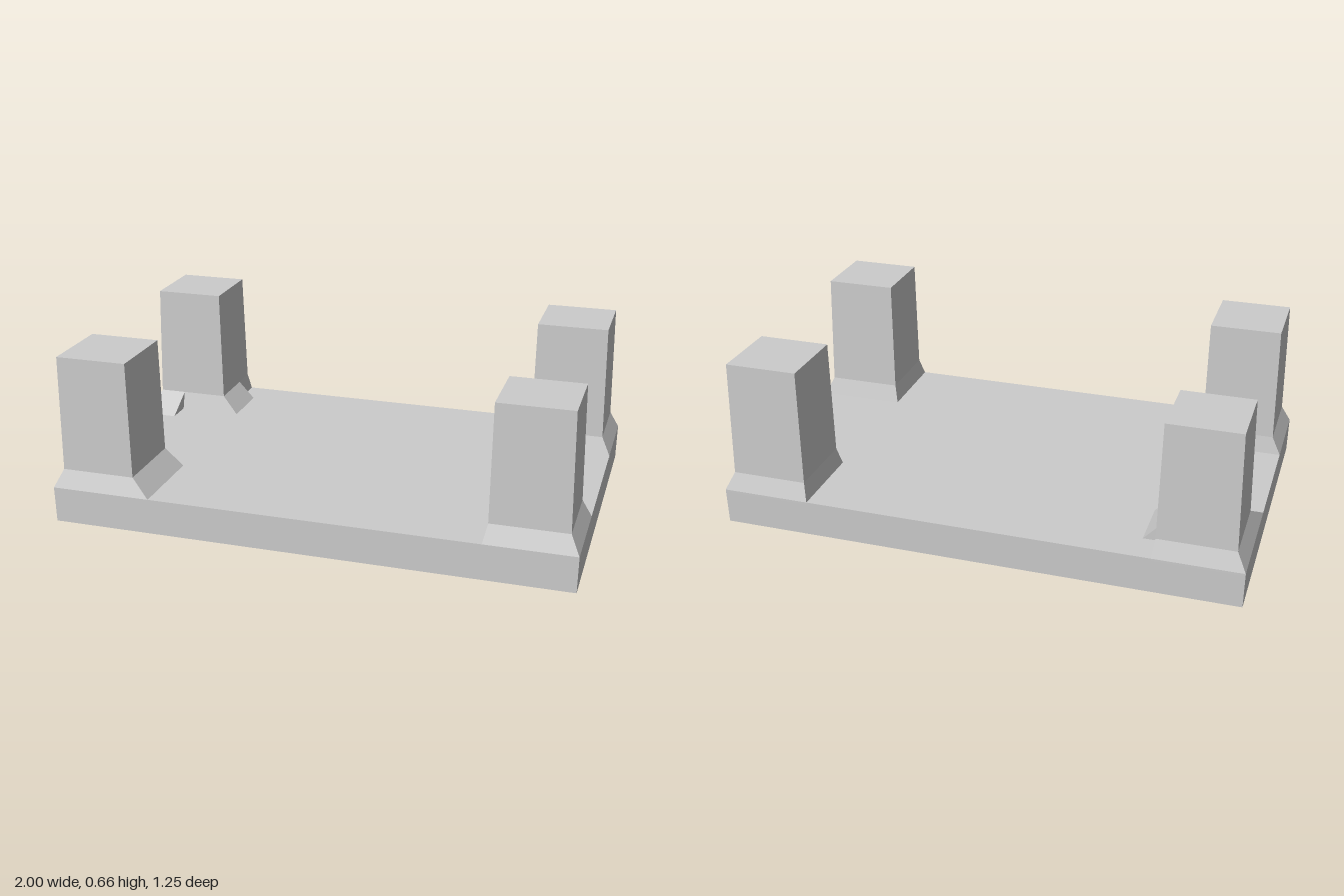
import * as THREE from 'three';

const material = new THREE.MeshStandardMaterial({ color: 0xcccccc, flatShading: true });

// Closed solid through rectangular levels [y, x0, x1, z0, z1], listed bottom to top
function loft(name, levels) {
  const pos = [];
  const rings = levels.map(([y, x0, x1, z0, z1]) => [
    [x0, y, z1], [x1, y, z1], [x1, y, z0], [x0, y, z0],
  ]);
  const quad = (a, b, c, d) => pos.push(...a, ...b, ...c, ...a, ...c, ...d);
  for (let i = 0; i < rings.length - 1; i++) {
    const lo = rings[i], hi = rings[i + 1];
    for (let k = 0; k < 4; k++) {
      const n = (k + 1) % 4;
      quad(lo[k], lo[n], hi[n], hi[k]);
    }
  }
  const top = rings[rings.length - 1], bottom = rings[0];
  quad(...top);
  quad(bottom[3], bottom[2], bottom[1], bottom[0]);
  const geometry = new THREE.BufferGeometry();
  geometry.setAttribute('position', new THREE.Float32BufferAttribute(pos, 3));
  geometry.computeVertexNormals();
  const mesh = new THREE.Mesh(geometry, material);
  mesh.name = name;
  return mesh;
}

const SLAB_TOP = 0.145, FLARE_TOP = 0.215, LEG_TOP = 0.665;

// Square post on a flared foot; each rectangle is [x0, x1, z0, z1]
function leg(name, foot, neck, top) {
  return loft(name, [
    [SLAB_TOP - 0.01, ...foot],
    [SLAB_TOP, ...foot],
    [FLARE_TOP, ...neck],
    [LEG_TOP, ...top],
  ]);
}

export function createModel() {
  const group = new THREE.Group();
  group.name = 'upturnedTable';

  // Flat slab
  group.add(loft('slab', [
    [0.005, -0.998, 0.998, -0.622, 0.624],
    [SLAB_TOP, -1, 1, -0.625, 0.625],
  ]));

  // Four corner legs
  group.add(
    leg('frontRightLeg', [-1, -0.61, 0.29, 0.625],
      [-0.965, -0.68, 0.3, 0.597], [-0.96, -0.685, 0.305, 0.594]),
    leg('frontLeftLeg', [0.66, 1, 0.29, 0.625],
      [0.675, 0.965, 0.31, 0.597], [0.68, 0.957, 0.32, 0.594]),
    leg('backLeftLeg', [0.66, 1, -0.625, -0.29],
      [0.675, 0.965, -0.602, -0.31], [0.68, 0.957, -0.597, -0.315]),
    leg('backRightLeg', [-1, -0.665, -0.625, -0.29],
      [-0.965, -0.675, -0.602, -0.31], [-0.957, -0.685, -0.597, -0.32]),
  );

  // Extra brace wedges at the foot of the back right leg
  group.add(
    loft('frontBraceWedge', [
      [SLAB_TOP - 0.01, -1, -0.86, -0.35, -0.19],
      [SLAB_TOP, -1, -0.86, -0.35, -0.19],
      [FLARE_TOP, -0.965, -0.86, -0.35, -0.31],
    ]),
    loft('sideBraceWedge', [
      [SLAB_TOP - 0.01, -0.72, -0.61, -0.5, -0.29],
      [SLAB_TOP, -0.72, -0.61, -0.5, -0.29],
      [FLARE_TOP, -0.72, -0.675, -0.5, -0.31],
    ]),
  );

  // Rest the underside on the ground plane
  group.children.forEach((part) => { part.position.y = -0.003; });
  return group;
}
